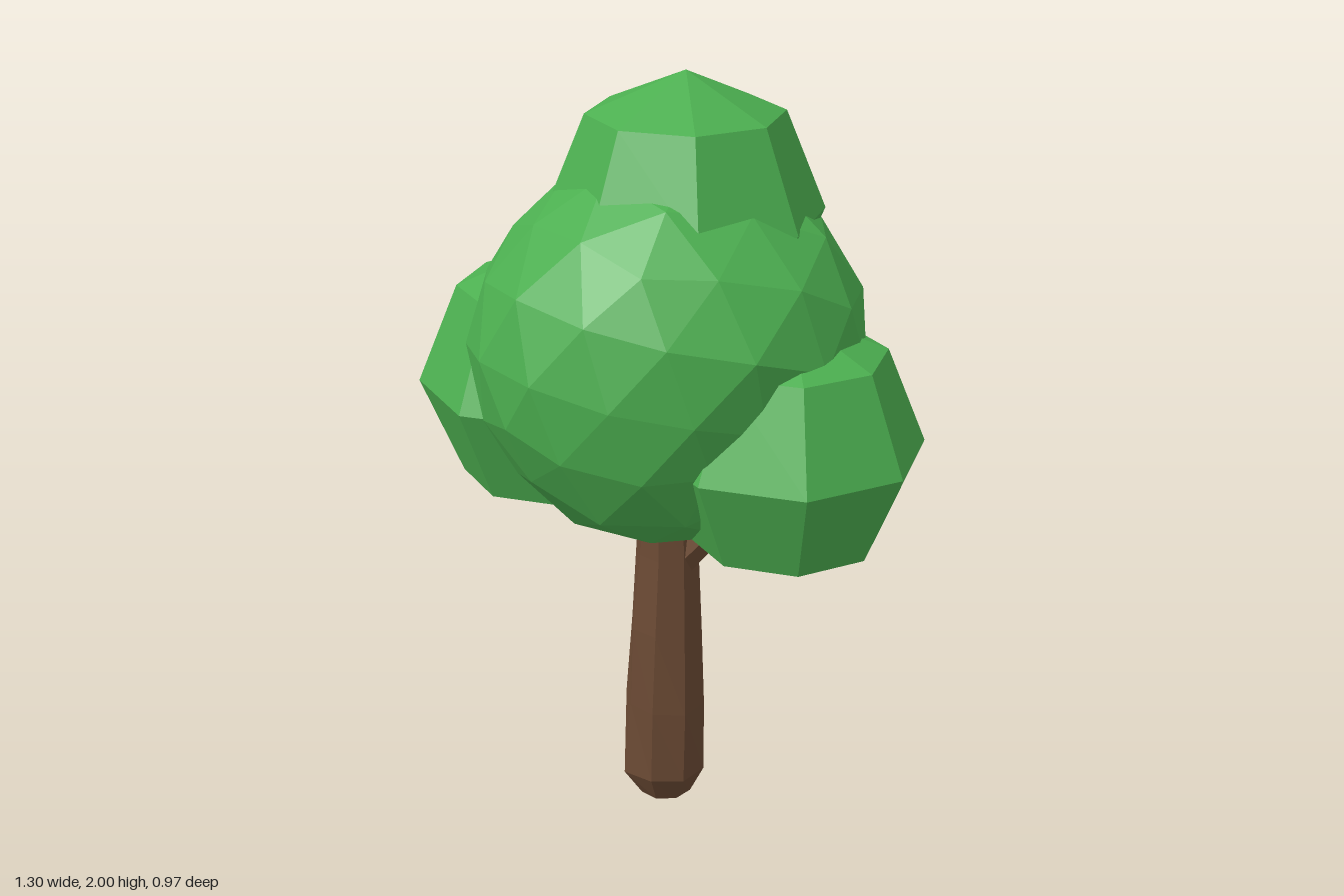
import * as THREE from 'three';

const leafMaterial = new THREE.MeshStandardMaterial({ color: 0x4caf50, flatShading: true });
const barkMaterial = new THREE.MeshStandardMaterial({ color: 0x6b4a34, flatShading: true });

// Move every vertex by a rule that depends only on its position, so seams stay closed.
function deform(geometry, rule) {
  const p = geometry.attributes.position;
  const v = new THREE.Vector3();
  for (let i = 0; i < p.count; i++) {
    rule(v.fromBufferAttribute(p, i));
    p.setXYZ(i, v.x, v.y, v.z);
  }
  geometry.computeVertexNormals();
  return geometry;
}

function addMesh(parent, name, geometry, material) {
  const mesh = new THREE.Mesh(geometry, material);
  mesh.name = name;
  parent.add(mesh);
  return mesh;
}

// Octagonal leaf clump with flat sides facing the axes
function addClump(parent, name, radius, x, y, z) {
  const clump = addMesh(parent, name, new THREE.SphereGeometry(radius, 8, 4), leafMaterial);
  clump.rotation.y = Math.PI / 8;
  clump.position.set(x, y, z);
}

export function createModel() {
  const tree = new THREE.Group();
  tree.name = 'tree';

  // Trunk: tapered, faceted, rounded at the foot, slightly uneven
  const profile = [
    [0, 0], [0.07, 0.03], [0.116, 0.11], [0.109, 0.32],
    [0.1, 0.55], [0.084, 0.76], [0.078, 0.9], [0.06, 1.1], [0, 1.15],
  ].map(([r, y]) => new THREE.Vector2(r, y));
  const trunk = deform(new THREE.LatheGeometry(profile, 8), (v) => {
    const k = 1 + 0.07 * Math.sin(23 * v.x + 9 * v.y) * Math.cos(19 * v.z + 5 * v.y);
    v.x = v.x * k - 0.008 * Math.cos(4 * v.y);
    v.z = v.z * k + 0.012 * Math.sin(3 * v.y);
  });
  addMesh(tree, 'trunk', trunk, barkMaterial);

  // Side branch reaching into the left clump
  const from = new THREE.Vector3(0.02, 0.71, 0.015);
  const to = new THREE.Vector3(0.28, 1.02, 0.06);
  const branch = addMesh(tree, 'branch',
    new THREE.CylinderGeometry(0.028, 0.045, from.distanceTo(to), 6), barkMaterial);
  branch.position.lerpVectors(from, to, 0.5);
  branch.quaternion.setFromUnitVectors(new THREE.Vector3(0, 1, 0), to.clone().sub(from).normalize());

  // Main crown: faceted ball; each lump is a direction and a height (negative = hollow)
  const lumps = [
    [0.58, -0.3, 0.76, -0.03],
    [0.65, -0.25, -0.72, -0.045],
    [-0.3, -0.35, -0.9, -0.015],
    [0.95, 0.3, 0.1, 0.02],
    [-0.1, 0.85, 0.5, 0.015],
    [-0.6, 0.6, 0.2, -0.02],
  ].map(([x, y, z, height]) => ({ dir: new THREE.Vector3(x, y, z).normalize(), height }));
  const crown = deform(new THREE.IcosahedronGeometry(1, 2).rotateY(0.4).rotateZ(0.35), (v) => {
    let r = 0.497 + 0.01 * Math.sin(5 * v.x + 1.3) * Math.cos(4 * v.y + 3 * v.z);
    for (const { dir, height } of lumps) r += height * Math.max(0, (v.dot(dir) - 0.85) / 0.15);
    v.multiplyScalar(r);
  });
  addMesh(tree, 'mainCrown', crown, leafMaterial).position.set(0, 1.315, 0);

  addClump(tree, 'topClump', 0.343, 0.035, 1.657, -0.037);
  addClump(tree, 'leftClump', 0.34, 0.335, 1.13, 0.088);
  addClump(tree, 'rightClump', 0.36, -0.318, 1.17, -0.075);

  return tree;
}
